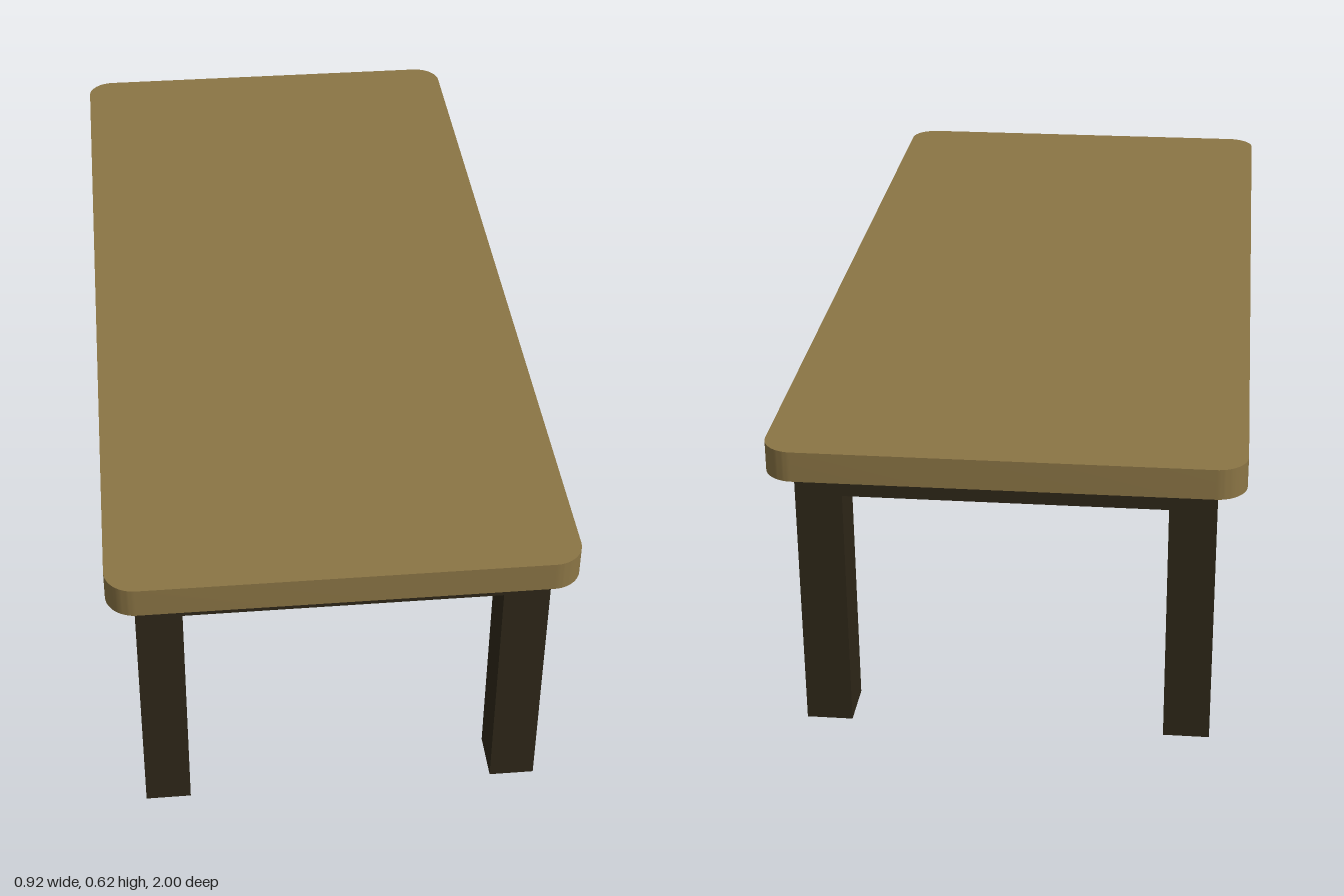
import * as THREE from 'three';
import { toCreasedNormals } from 'three/addons/utils/BufferGeometryUtils.js';

export function createModel() {
  const table = new THREE.Group();
  table.name = 'table';
  const topWood = new THREE.MeshStandardMaterial({ color: 0x8b7545 });
  const darkWood = new THREE.MeshStandardMaterial({ color: 0x2e2718 });

  const halfW = 0.462, halfL = 1, radius = 0.06;
  const underside = 0.56, topHeight = 0.622;
  const legW = 0.092, legL = 0.102, legX = 0.361, legZ = 0.904;
  const railH = 0.05;

  // Table top: rounded rectangle extruded upwards
  const r = radius, s = new THREE.Shape();
  s.absarc(halfW - r, halfL - r, r, 0, Math.PI / 2);
  s.absarc(-halfW + r, halfL - r, r, Math.PI / 2, Math.PI);
  s.absarc(-halfW + r, -halfL + r, r, Math.PI, Math.PI * 1.5);
  s.absarc(halfW - r, -halfL + r, r, Math.PI * 1.5, Math.PI * 2);
  s.closePath();
  const slab = new THREE.ExtrudeGeometry(s, {
    depth: topHeight - underside, bevelEnabled: false, curveSegments: 10,
  });
  slab.rotateX(-Math.PI / 2);
  const top = new THREE.Mesh(toCreasedNormals(slab, Math.PI / 6), topWood);
  top.name = 'tableTop';
  top.position.y = underside;
  table.add(top);

  const addBox = (name, w, h, d, x, y, z) => {
    const mesh = new THREE.Mesh(new THREE.BoxGeometry(w, h, d), darkWood);
    mesh.name = name;
    mesh.position.set(x, y, z);
    table.add(mesh);
  };

  // Square legs at the four corners
  for (const sx of [1, -1]) {
    for (const sz of [1, -1]) {
      addBox(`${sz > 0 ? 'front' : 'back'}${sx > 0 ? 'Left' : 'Right'}Leg`,
        legW, underside, legL, sx * legX, underside / 2, sz * legZ);
    }
  }

  // Apron rails between the legs, flush with their faces
  const railY = underside - railH / 2;
  for (const side of [1, -1]) {
    addBox(side > 0 ? 'frontRail' : 'backRail',
      2 * legX - legW, railH, legL, 0, railY, side * legZ);
    addBox(side > 0 ? 'leftRail' : 'rightRail',
      legW, railH, 2 * legZ - legL, side * legX, railY, 0);
  }
  return table;
}
